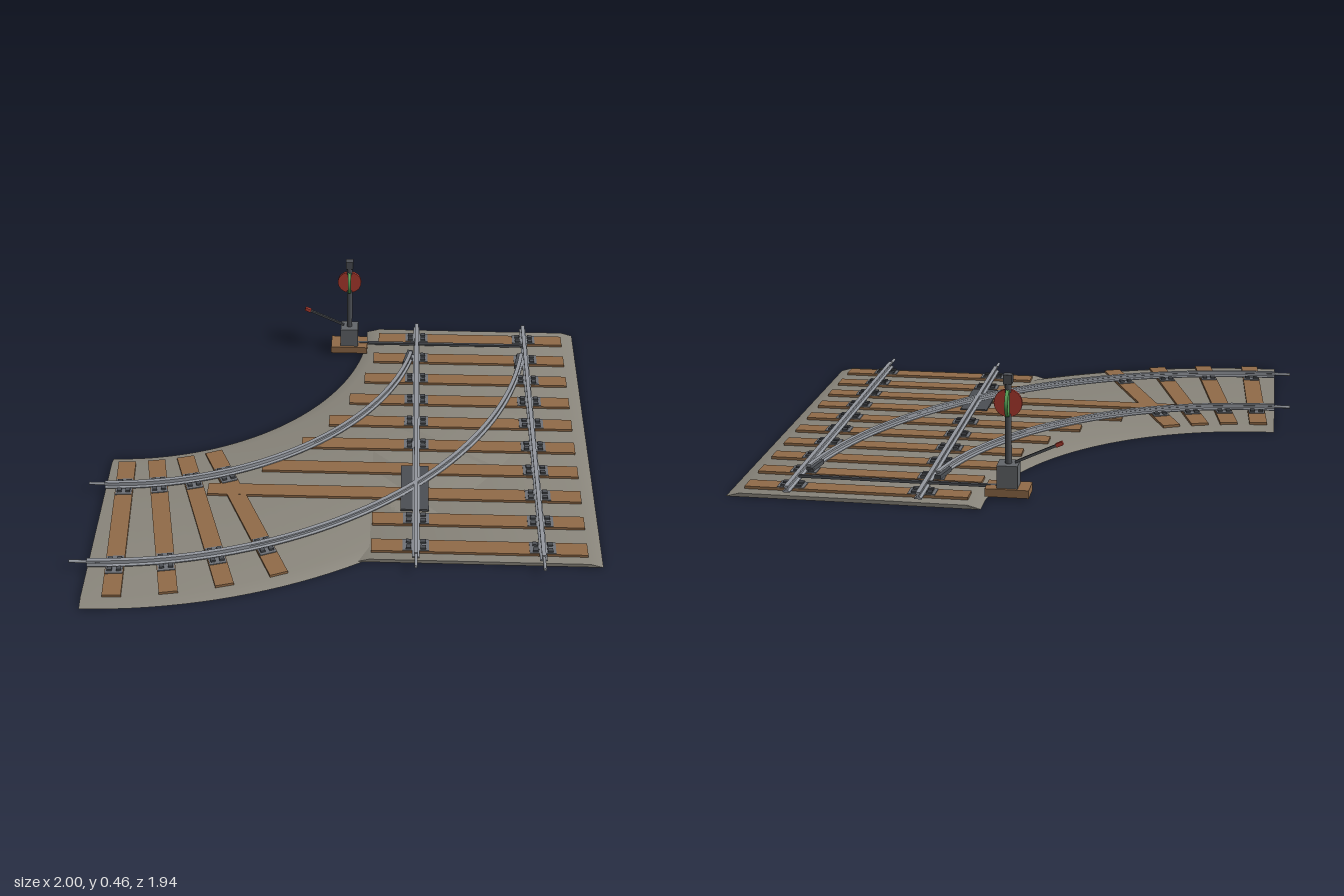
import * as THREE from 'three';
import { toCreasedNormals } from 'three/addons/utils/BufferGeometryUtils.js';

const flat = (name, color) => {
  const m = new THREE.MeshStandardMaterial({ color });
  m.name = name;
  return m;
};

// Track layout
const CX = -0.95, CZ = -0.98;            // centre of the curve
const R_IN = 1.245, R_OUT = 1.725, R_MID = 1.485;
const X_IN = 0.295, X_OUT = 0.775;       // straight rails
const FRONT = 0.66, BACK = -0.97;
const START = 0.01;                      // angle where the curve ends at the side
const TIE_TOP = 0.024, RAIL_Y = 0.026;

// Sweeps a closed counter-clockwise profile [across, up] through frames
function sweep(profile, frames) {
  const n = profile.length, pos = [], idx = [];
  frames.forEach(({ x, z, sx, sz }) =>
    profile.forEach(([u, v]) => pos.push(x + sx * u, v, z + sz * u)));
  for (let i = 0; i < frames.length - 1; i++)
    for (let j = 0; j < n; j++) {
      const k = (j + 1) % n;
      const a = i * n + j, b = i * n + k, c = b + n, d = a + n;
      idx.push(a, d, c, a, c, b);
    }
  const last = (frames.length - 1) * n;
  const pts = profile.map(([u, v]) => new THREE.Vector2(u, v));
  THREE.ShapeUtils.triangulateShape(pts, []).forEach(([a, b, c]) =>
    idx.push(a, b, c, last + a, last + c, last + b));
  const g = new THREE.BufferGeometry();
  g.setAttribute('position', new THREE.Float32BufferAttribute(pos, 3));
  g.setIndex(idx);
  return toCreasedNormals(g, 0.5);
}

const straightPath = (x) => [FRONT, BACK].map((z) => ({ x, z, sx: 1, sz: 0 }));

function curvePath(r, end, steps = 48) {
  const out = [];
  for (let i = 0; i <= steps; i++) {
    const t = START + ((end - START) * i) / steps;
    const sx = Math.sin(t), sz = Math.cos(t);
    out.push({ x: CX + r * sx, z: CZ + r * sz, sx, sz });
  }
  return out;
}

export function createModel() {
  const model = new THREE.Group();
  model.name = 'railSwitch';

  const ballast = flat('ballast grey', 0x8a867c);
  const wood = flat('tie wood', 0x916b48);
  const steel = flat('rail steel', 0x94989f);
  const plate = flat('plate iron', 0x6e7278);
  const iron = flat('dark iron', 0x4c4f54);
  const box = flat('stand grey', 0x63666a);
  const red = flat('signal red', 0xb23c30);
  const green = flat('signal green', 0x55a055);

  const add = (name, geo, mat, x = 0, y = 0, z = 0, parent = model) => {
    const m = new THREE.Mesh(geo, mat);
    m.name = name;
    m.position.set(x, y, z);
    parent.add(m);
    return m;
  };
  const cube = (w, h, d) => new THREE.BoxGeometry(w, h, d);

  // Ballast beds with sloped shoulders
  const bed = (h) => [[-h, 0], [h, 0], [h - 0.05, 0.014], [-h + 0.05, 0.014]];
  add('straightBallast', sweep(bed(0.465), straightPath(0.535)), ballast);
  add('curvedBallast', sweep(bed(0.46), curvePath(R_MID, 1.564)), ballast);

  // Chair: base plate with two clips on each side of the rail
  const plateGeo = cube(0.1, 0.004, 0.064), clipGeo = cube(0.02, 0.009, 0.018);
  const chair = (x, z, turn = 0) => {
    const g = new THREE.Group();
    g.name = 'railChair';
    g.position.set(x, TIE_TOP, z);
    g.rotation.y = turn;
    add('chairPlate', plateGeo, plate, 0, 0.001, 0, g);
    for (const sx of [-1, 1])
      for (const sz of [-1, 1])
        add('chairClip', clipGeo, iron, sx * 0.028, 0.006, sz * 0.017, g);
    model.add(g);
  };

  // Straight ties, lengthening to carry the diverging track
  const leftEnds = [0.125, 0.105, 0.07, 0.01, -0.07, -0.175, -0.325, -0.53, 0.125, 0.125];
  leftEnds.forEach((x0, i) => {
    const z = -0.887 + 0.1635 * i;
    add('tie', cube(0.945 - x0, 0.02, 0.07), wood, (0.945 + x0) / 2, TIE_TOP - 0.01, z);
    chair(X_OUT, z);
    if (i !== 6 && i !== 7) chair(X_IN, z);
  });

  // Radial ties at the end of the curve
  for (let i = 0; i < 4; i++) {
    const t = THREE.MathUtils.degToRad(4 + 6.3 * i);
    const at = (r) => [CX + r * Math.sin(t), CZ + r * Math.cos(t)];
    const [x, z] = at(R_MID);
    add('curveTie', cube(0.07, 0.02, 0.82), wood, x, TIE_TOP - 0.0102, z).rotation.y = t;
    for (const r of [R_IN, R_OUT]) chair(...at(r), t + Math.PI / 2);
  }

  // Rails: foot, web and head
  const half = [[0.014, 0], [0.014, 0.004], [0.004, 0.007], [0.004, 0.016], [0.008, 0.018], [0.008, 0.025]];
  const rail = [...half, ...half.map(([u, v]) => [-u, v]).reverse()].map(([u, v]) => [u, v + RAIL_Y]);
  const pin = new THREE.CylinderGeometry(0.006, 0.006, 0.1, 10);
  for (const x of [X_IN, X_OUT]) {
    add('straightRail', sweep(rail, straightPath(x)), steel);
    add('railPin', pin, steel, x, 0.041, 0.68).rotation.x = Math.PI / 2;
  }
  for (const [r, end] of [[R_IN, 1.375], [R_OUT, 1.43]]) {
    add('curvedRail', sweep(rail, curvePath(r, end)), steel);
    add('railPin', pin, steel, -0.95, 0.041, CZ + r).rotation.z = Math.PI / 2;
    // Heel block beside the tip of each switch blade
    const t = end - 0.025;
    add('bladeBlock', cube(0.024, 0.016, 0.1), iron,
      CX + (r - 0.008) * Math.sin(t), 0.034, CZ + (r - 0.008) * Math.cos(t)).rotation.y = t - Math.PI / 2;
  }

  // Plate under the rail crossing
  add('frogPlate', cube(0.11, 0.008, 0.285), iron, 0.29, 0.025, 0.228);

  // Switch stand
  const stand = new THREE.Group();
  stand.name = 'switchStand';
  stand.position.set(-0.005, 0, -0.82);
  model.add(stand);
  const part = (name, geo, mat, x, y, z = 0) => add(name, geo, mat, x, y, z, stand);
  part('standTie', cube(0.16, 0.03, 0.095), wood, 0, 0.025);
  part('standBox', cube(0.076, 0.085, 0.074), box, 0, 0.0825);
  part('throwRod', cube(0.78, 0.01, 0.014), iron, 0.39, 0.036);
  const mast = (y0, y1, r) =>
    part('mast', new THREE.CylinderGeometry(r, r, y1 - y0, 12), iron, 0, (y0 + y1) / 2);
  mast(0.12, 0.31, 0.012);
  mast(0.31, 0.39, 0.005);
  mast(0.39, 0.425, 0.012);
  part('lampBox', cube(0.032, 0.034, 0.032), iron, 0, 0.439);

  // Crossed signal discs
  const disc = new THREE.CylinderGeometry(0.051, 0.051, 0.012, 32);
  part('redDisc', disc, red, 0, 0.35).rotation.x = Math.PI / 2;
  part('greenDisc', disc, green, 0, 0.35).rotation.z = Math.PI / 2;

  // Throw lever with a red grip
  const lever = new THREE.Group();
  lever.name = 'lever';
  lever.position.set(-0.025, 0.13, 0);
  lever.rotation.z = Math.PI - 0.44;
  stand.add(lever);
  add('leverArm', cube(0.17, 0.009, 0.009), iron, 0.085, 0, 0, lever);
  add('leverGrip', cube(0.026, 0.014, 0.014), red, 0.175, 0, 0, lever);

  return model;
}
